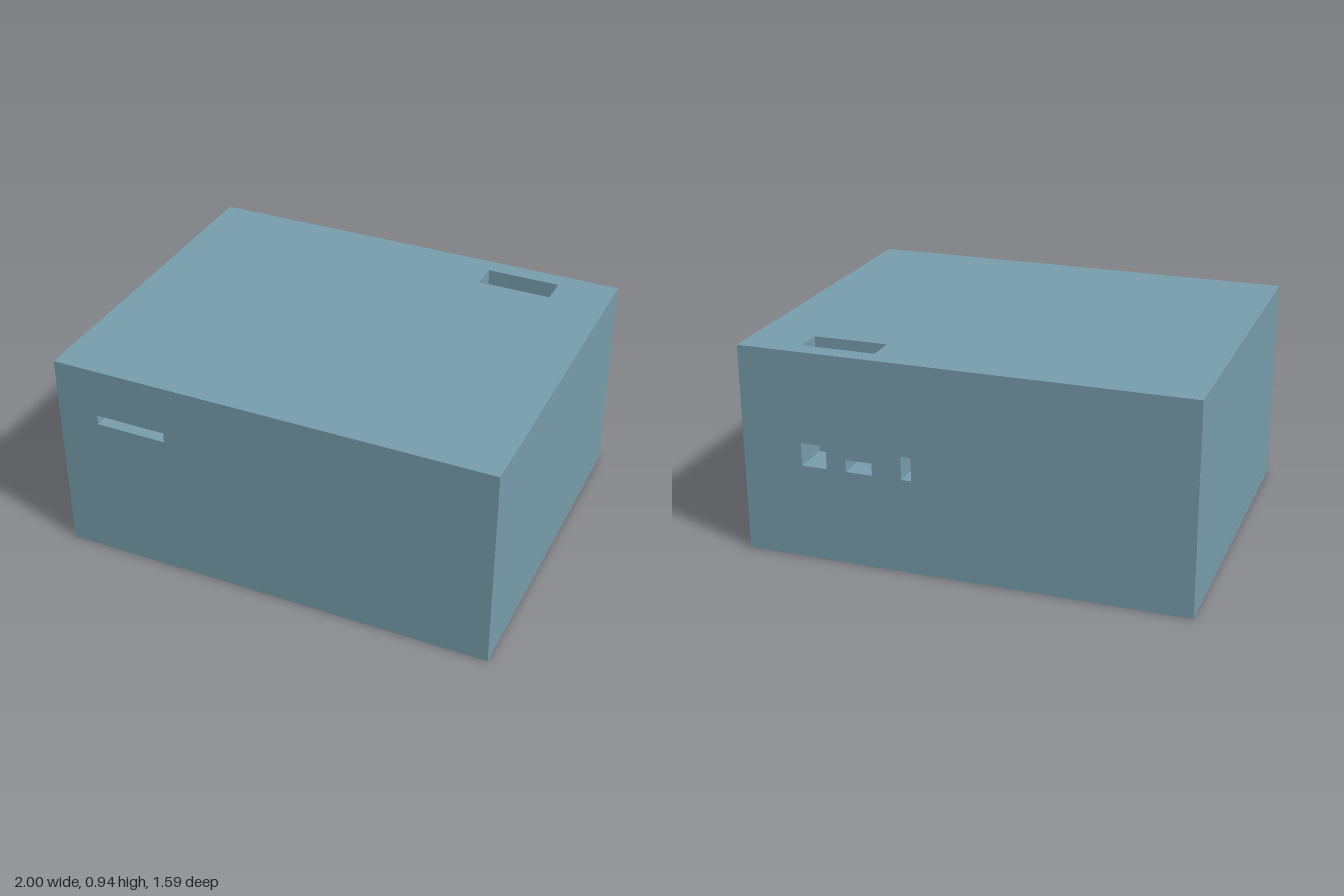
import * as THREE from 'three';

const W = 2, H = 0.945, D = 1.59, DEPTH = 0.17;

// Flat outer wall facing local +z; each cutout is [x0, x1, y0, y1] in the wall's own plane.
function wallGeometry(w, h, cutouts) {
  const rect = (path, x0, x1, y0, y1) =>
    path.moveTo(x0, y0).lineTo(x1, y0).lineTo(x1, y1).lineTo(x0, y1).closePath();
  const shape = rect(new THREE.Shape(), -w / 2, w / 2, -h / 2, h / 2);
  for (const c of cutouts) shape.holes.push(rect(new THREE.Path(), ...c));
  return new THREE.ShapeGeometry(shape);
}

// Open recess behind a cutout: a box turned inside out, without its front face.
function recessGeometry([x0, x1, y0, y1]) {
  const g = new THREE.BoxGeometry(x1 - x0, y1 - y0, DEPTH);
  g.scale(1, 1, -1);
  g.setIndex(Array.from(g.index.array).slice(0, 30));
  g.clearGroups();
  g.computeVertexNormals();
  g.translate((x0 + x1) / 2, (y0 + y1) / 2, -DEPTH / 2);
  return g;
}

export function createModel() {
  const model = new THREE.Group();
  model.name = 'slottedBox';
  const blue = new THREE.MeshStandardMaterial({ color: 0x779dab });
  blue.name = 'greyBlue';

  function addSide(name, w, h, position, rotation, cutouts = []) {
    const side = new THREE.Group();
    side.name = name;
    const add = (part, geometry) => {
      const mesh = new THREE.Mesh(geometry, blue);
      mesh.name = part;
      side.add(mesh);
    };
    add(name + 'Wall', wallGeometry(w, h, cutouts));
    cutouts.forEach((c, i) => add(name + 'Recess' + (i + 1), recessGeometry(c)));
    side.position.set(...position);
    side.rotation.set(...rotation);
    model.add(side);
  }

  const mid = H / 2, q = Math.PI / 2;

  // Front with one thin slot
  addSide('front', W, H, [0, mid, D / 2], [0, 0, 0],
    [[-0.81, -0.485, 0.675 - mid, 0.72 - mid]]);

  // Back with three small ports (local x runs opposite to the model's x)
  addSide('back', W, H, [0, mid, -D / 2], [0, 2 * q, 0], [
    [-0.725, -0.61, 0.43 - mid, 0.535 - mid],
    [-0.52, -0.4, 0.43 - mid, 0.485 - mid],
    [-0.267, -0.222, 0.43 - mid, 0.535 - mid],
  ]);

  // Plain sides
  addSide('left', D, H, [W / 2, mid, 0], [0, q, 0]);
  addSide('right', D, H, [-W / 2, mid, 0], [0, -q, 0]);

  // Top with one slot (local y is -z)
  addSide('top', W, D, [0, H, 0], [-q, 0, 0], [[0.405, 0.74, 0.587, 0.712]]);

  // Underside with four slots (local y is z)
  addSide('bottom', W, D, [0, 0, 0], [q, 0, 0], [
    [0.75, 0.875, 0.393, 0.723],
    [0.302, 0.508, -0.48, 0.08],
    [-0.813, 0.125, -0.37, -0.18],
    [-0.357, -0.14, 0.24, 0.387],
  ]);

  return model;
}
